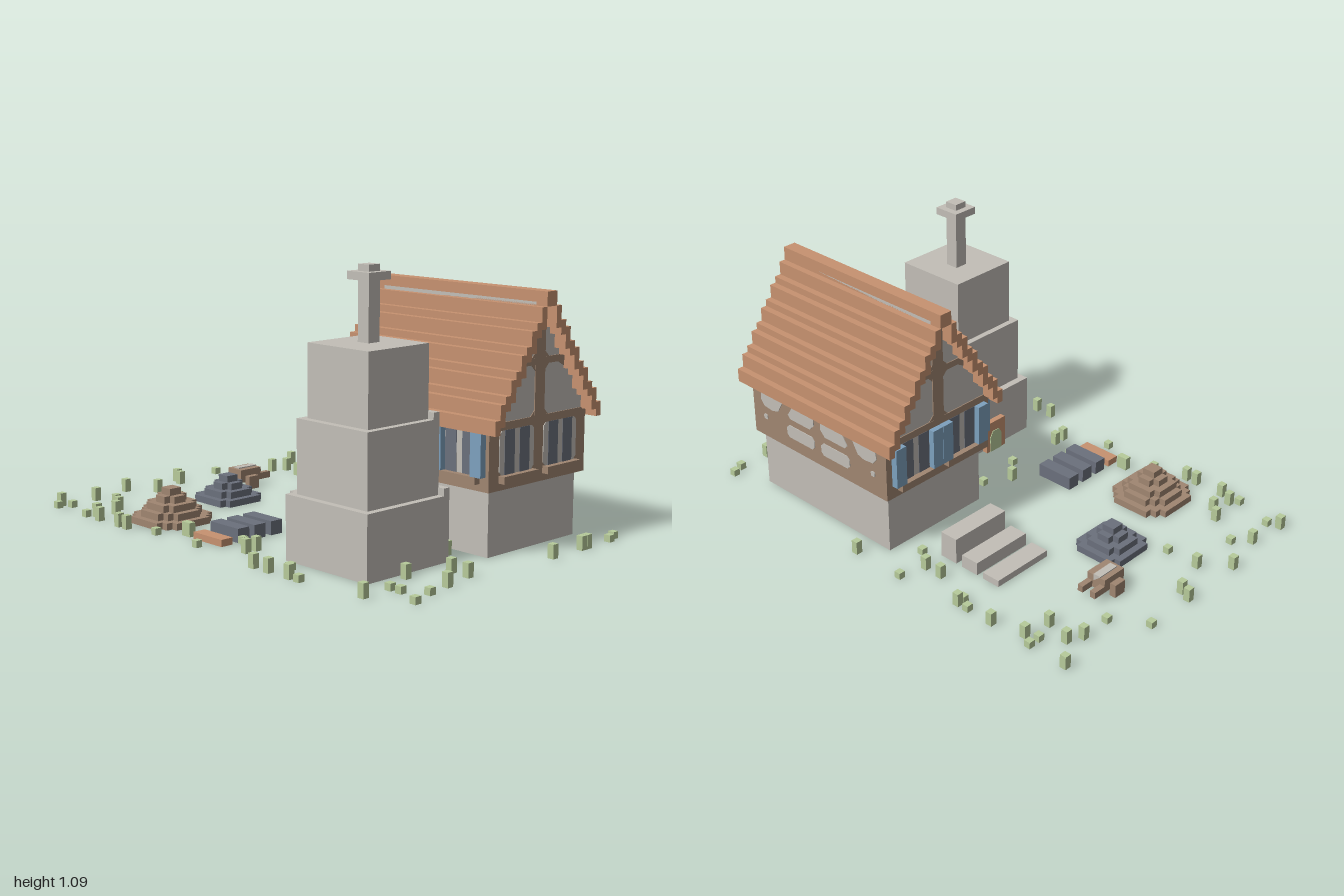
import * as THREE from 'three';

const U = 1 / 36; // block size

const mat = (name, hex) => {
  const m = new THREE.MeshStandardMaterial({ color: hex });
  m.name = name;
  return m;
};

export function createModel() {
  const stone = mat('stone', 0xc2beb7), roofTile = mat('roofTile', 0xc79270);
  const timber = mat('timber', 0xa08671), slate = mat('slate', 0x6b707c);
  const blue = mat('shutterBlue', 0x7da1be), green = mat('grassGreen', 0xb7cb9a);

  const group = (name, parent) => {
    const g = new THREE.Group();
    g.name = name;
    parent.add(g);
    return g;
  };
  const box = (parent, name, m, x0, x1, y0, y1, z0, z1) => {
    const mesh = new THREE.Mesh(new THREE.BoxGeometry(x1 - x0, y1 - y0, z1 - z0), m);
    mesh.position.set((x0 + x1) / 2, (y0 + y1) / 2, (z0 + z1) / 2);
    mesh.name = name;
    parent.add(mesh);
  };
  // four walls without top or bottom
  const shell = (parent, name, m, x0, x1, y0, y1, z0, z1, t = 0.035) => {
    const g = group(name, parent);
    for (const [a, b] of [[z0, z0 + t], [z1 - t, z1]]) box(g, 'wall', m, x0, x1, y0, y1, a, b);
    for (const [a, b] of [[x0, x0 + t], [x1 - t, x1]]) box(g, 'wall', m, a, b, y0, y1, z0 + t, z1 - t);
  };
  // thin plate from outline points, optionally mirrored in x
  const plate = (parent, name, m, pts, side = 1, depth = 0.003) => {
    const list = pts.map(([x, y]) => new THREE.Vector2(x * side, y));
    const geo = new THREE.ExtrudeGeometry(new THREE.Shape(list), { depth, bevelEnabled: false });
    const mesh = new THREE.Mesh(geo, m);
    mesh.name = name;
    parent.add(mesh);
  };
  const chamfered = (x0, x1, y0, y1, c) => [
    [x0 + c, y0], [x1 - c, y0], [x1, y0 + c], [x1, y1 - c],
    [x1 - c, y1], [x0 + c, y1], [x0, y1 - c], [x0, y0 + c]];

  const model = new THREE.Group();
  model.name = 'cottageYard';

  // House body, with a hollow base
  const house = group('house', model);
  shell(house, 'stoneBase', stone, 0.055, 0.555, 0, 0.255, 0.055, 0.785);
  box(house, 'cellarCeiling', stone, 0.09, 0.52, 0.14, 0.2, 0.09, 0.75);
  box(house, 'upperStorey', timber, 0.028, 0.583, 0.252, 0.5, 0.028, 0.808);

  // Stepped roof and gable, one column pair per block
  const tops = [19, 21, 22, 24, 25, 27, 28, 30, 31, 33, 35];
  const mid = 11 * U;
  tops.forEach((t, i) => {
    const bottom = i === 0 ? 17 : i === 10 ? 33 : tops[i - 1] - 1;
    for (const s of [-1, 1]) {
      const a = mid + s * (11 - i) * U, b = mid + s * (10 - i) * U;
      const x0 = Math.min(a, b), x1 = Math.max(a, b);
      box(house, 'roofStep', roofTile, x0, x1, bottom * U, t * U, -0.025, 0.86);
      if (i) box(house, 'gableColumn', stone, x0, x1, 0.49, (bottom + 0.5) * U, 0.028, 0.808);
    }
  });

  // Wall faces: local x along the wall, z outward
  const face = (name, x, z, turn) => {
    const g = group(name, house);
    g.position.set(x, 0, z);
    g.rotation.y = turn;
    return g;
  };
  const front = face('frontWall', 0.305, 0.808, 0);
  const back = face('backWall', 0.305, 0.028, Math.PI);
  const right = face('rightWall', 0.583, 0.418, Math.PI / 2);
  const left = face('leftWall', 0.028, 0.418, -Math.PI / 2);

  // Gable timbers on both ends
  for (const g of [front, back]) {
    box(g, 'tieBeam', timber, -0.277, 0.277, 0.475, 0.505, 0, 0.004);
    box(g, 'kingPost', timber, -U, U, 0.48, 0.917, 0, 0.004);
    box(g, 'collarBeam', timber, -0.14, 0.14, 0.697, 0.723, 0, 0.004);
    for (const s of [-1, 1]) {
      for (const [y, d] of [[0.697, -1], [0.723, 1], [0.505, 1]])
        plate(g, 'cornerBrace', timber, [[U, y], [U + 0.022, y], [U, y + d * 0.022]], s);
      plate(g, 'collarBrace', timber, [[0.14, 0.697], [0.105, 0.697], [0.145, 0.675]], s);
    }
  }

  // Windows with sills, and shutters where wanted
  const windowUnit = (g, x, shutters) => {
    const w = shutters ? 0.075 : 0.097;
    plate(g, 'windowPanel', stone, chamfered(x - w, x + w, 0.308, 0.475, 0.014));
    for (const s of [-1, 1]) {
      const c = x + s * 0.042;
      box(g, 'windowPane', slate, c - U, c + U, 0.308, 0.475, 0, 0.005);
      if (shutters) {
        const p = x + s * 0.098;
        box(g, 'shutter', blue, p - 0.026, p + 0.026, 0.308, 0.475, 0, U);
      }
    }
    box(g, 'windowSill', timber, x - 0.097, x + 0.097, 0.28, 0.308, 0, U);
  };
  for (const x of [-0.125, 0.125]) {
    windowUnit(front, x, false);
    windowUnit(back, x, true);
  }
  for (const x of [-0.25, 0, 0.25]) windowUnit(left, x, true);

  // Half-timbered plaster panels on the right wall
  for (const s of [-1, 1]) {
    plate(right, 'upperPanel', stone,
      [[0.02, 0.42], [0.045, 0.395], [0.16, 0.395], [0.175, 0.41], [0.13, 0.478], [0.05, 0.478], [0.02, 0.45]], s);
    plate(right, 'lowerPanel', stone, chamfered(0.02, 0.185, 0.308, 0.364, 0.014), s);
    plate(right, 'endPanel', stone,
      [[0.19, 0.478], [0.235, 0.4], [0.27, 0.39], [0.32, 0.395], [0.34, 0.42], [0.335, 0.45], [0.3, 0.478]], s);
    plate(right, 'smallPanel', stone, chamfered(0.305, 0.327, 0.335, 0.357, 0.004), s);
  }

  // Side door and step
  box(house, 'sideDoor', timber, 0.05, 0.06, 0.028, 0.2, 0.165, 0.25);
  box(house, 'doorStep', stone, 0.02, 0.056, 0, 0.028, 0.14, 0.275);

  // Hollow stone tower of three tiers with chimney
  const tower = group('tower', model);
  const cx = -0.278;
  shell(tower, 'lowerTier', stone, -0.503, -0.085, 0, 0.25, 0.3, 0.72);
  shell(tower, 'middleTier', stone, -0.475, -0.112, 0.25, 0.53, 0.33, 0.692);
  shell(tower, 'upperTier', stone, -0.445, -0.14, 0.53, 0.805, 0.355, 0.664);
  box(tower, 'towerTop', stone, -0.41, -0.175, 0.777, 0.805, 0.39, 0.629);
  box(tower, 'lowerLedge', stone, -0.114, -0.085, 0.25, 0.278, 0.3, 0.72);
  box(tower, 'middleLedge', stone, -0.142, -0.112, 0.53, 0.556, 0.33, 0.692);
  box(tower, 'chimney', stone, cx - U, cx + U, 0.805, 1.085, 0.47, 0.525);
  box(tower, 'chimneyCap', stone, cx - 2 * U, cx + 2 * U, 1.03, 1.06, 0.442, 0.553);
  box(tower, 'doorFrame', roofTile, -0.335, -0.225, 0, 0.14, 0.275, 0.3);
  const towerDoor = group('towerDoor', tower);
  towerDoor.position.set(cx, 0, 0.275);
  towerDoor.rotation.y = Math.PI;
  plate(towerDoor, 'mossyDoor', green,
    [[-0.034, 0], [0.034, 0], [0.034, 0.07], [0.018, 0.097], [-0.018, 0.097], [-0.034, 0.07]]);

  // Hollow heaps: stepped rings, each hole matching the ring above
  const outline = (r, maxCut) => {
    const cut = Math.min(maxCut, Math.floor(r / 2));
    const corner = [];
    for (let c = 0; c <= cut; c++) {
      corner.push([r - c, r - cut + c]);
      if (c < cut) corner.push([r - c - 1, r - cut + c]);
    }
    const pts = [];
    for (let q = 0; q < 4; q++) {
      const co = Math.round(Math.cos(q * Math.PI / 2)), si = Math.round(Math.sin(q * Math.PI / 2));
      for (const [x, y] of corner) pts.push(new THREE.Vector2((x * co - y * si) * U, (x * si + y * co) * U));
    }
    return pts;
  };
  const heap = (name, m, x, z, n, maxCut) => {
    const g = group(name, model);
    g.position.set(x, 0, z);
    for (let i = 0; i < n; i++) {
      const shape = new THREE.Shape(outline(n - i, maxCut));
      if (i < n - 1) shape.holes.push(new THREE.Path(outline(n - i - 1, maxCut)));
      const geo = new THREE.ExtrudeGeometry(shape, { depth: U, bevelEnabled: false });
      const ring = new THREE.Mesh(geo.rotateX(-Math.PI / 2), m);
      ring.name = 'heapTier';
      ring.position.y = i * U;
      g.add(ring);
    }
  };
  heap('woodHeap', timber, -0.445, -0.447, 5, 2);
  heap('coalHeap', slate, -0.055, -0.56, 4, 1);

  // Troughs, and stone steps behind the house
  [-0.528, -0.445, -0.362, -0.278].forEach((x, i) =>
    box(model, 'trough', i ? slate : roofTile, x - U, x + U, 0, i ? 2 * U : U, -0.17, -0.004));
  [0.11, 0.055, 0.028].forEach((h, i) => {
    const z = -0.195 - i * 0.111;
    box(model, 'stoneStep', stone, 0.165, 0.44, 0, h, z, z + 0.08);
  });

  // Handcart
  const cart = group('handcart', model);
  box(cart, 'cartBody', timber, 0.11, 0.222, U, 3 * U, -0.755, -0.67);
  box(cart, 'cartLoad', stone, 0.125, 0.222, 0.06, 0.088, -0.732, -0.7);
  for (const s of [-1, 1]) {
    const z = -0.713 + s * 0.055;
    box(cart, 'cartWheel', timber, 0.135, 0.19, 0, 2 * U, z - U / 2, z + U / 2);
    const h = -0.713 + s * 0.03;
    box(cart, 'cartHandle', timber, 0.22, 0.277, U, 2 * U, h - 0.012, h + 0.012);
  }

  // Grass tufts: x, z pairs in hundredths
  const tufts = [
    -27, -98.6, -62, -96, -46, -94, -60, -91, -40, -88, -18, -88, 1, -98.6, -1, -94, 23, -98.6, -65, -74,
    -62, -71, -49, -74, -54, -69, -65, -94, -18, -74, -65, -65, -65, -52, -65, -47, -62, -32, 32, -85,
    45, -85, 51, -82, 62, -91, 57, -74, 62, -74, 48, -71, 59, -69, 62, -55, 62, -43, 59, -38,
    62, -38, 54, -21, 54, -13, 65, -10, 48, -5, 65, 14, -54, -23, -54, -21, -62, -7, -46, 1,
    -49, 12, -54, 12, -15, 6, -4, 12, -24, 14, -65, 29, -65, 37, -65, 48, -65, 53, -57, 40,
    -2, 65, -35, 76, -62, 82, -49, 82, -49, 87, -18, 82, -18, 90, -32, 93, -43, 95, -54, 98.6,
    23, 95, 40, 95, 43, 95, 57, 95, 62, 93];
  const grass = group('grass', model);
  for (let i = 0; i < tufts.length; i += 2) {
    const x = tufts[i] / 100, z = tufts[i + 1] / 100;
    const h = (i / 2) % 5 < 3 ? 2 * U : U;
    box(grass, 'grassTuft', green, x - U / 2, x + U / 2, 0, h, z - U / 2, z + U / 2);
  }
  return model;
}
